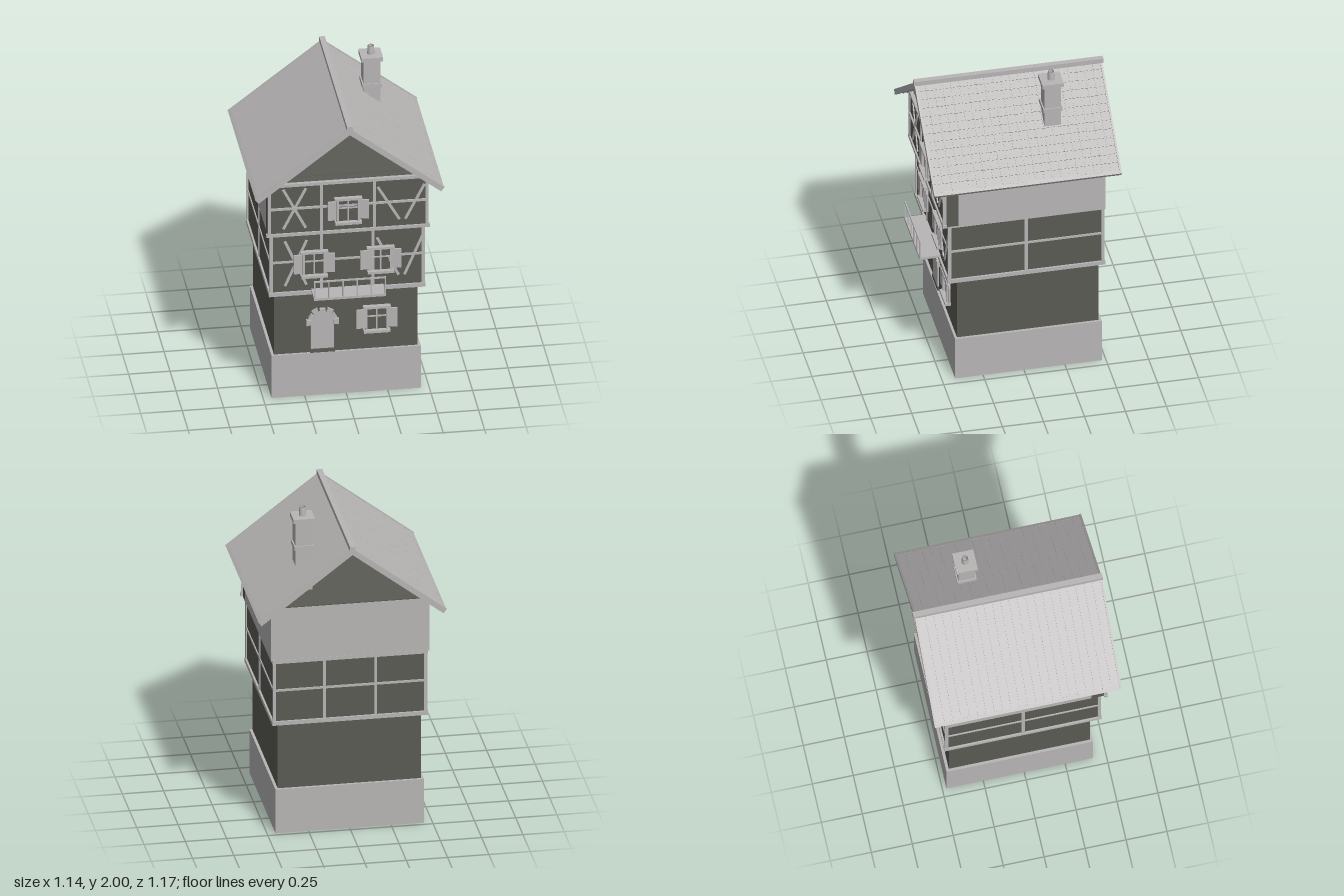
import * as THREE from 'three';
import { mergeGeometries } from 'three/addons/utils/BufferGeometryUtils.js';

export function createModel() {
  const model = new THREE.Group();
  model.name = 'timberHouse';
  const mat = (name, color) => {
    const m = new THREE.MeshStandardMaterial({ color });
    m.name = name;
    return m;
  };
  const pale = mat('paleGrey', 0xb8b5b5);
  const plaster = mat('darkPlaster', 0x5b5b54);

  const mesh = (parent, name, geometry, material) => {
    const m = new THREE.Mesh(geometry, material);
    m.name = name;
    parent.add(m);
    return m;
  };
  // Box given by its limits on each axis
  const block = (parent, name, [x0, x1], [y0, y1], [z0, z1], material = pale) => {
    const m = mesh(parent, name, new THREE.BoxGeometry(x1 - x0, y1 - y0, z1 - z0), material);
    m.position.set((x0 + x1) / 2, (y0 + y1) / 2, (z0 + z1) / 2);
    return m;
  };
  // Slanted timber lying against a front wall
  const brace = (parent, x0, y0, x1, y1, z) => {
    const m = mesh(parent, 'brace', new THREE.BoxGeometry(Math.hypot(x1 - x0, y1 - y0), 0.016, 0.012), pale);
    m.position.set((x0 + x1) / 2, (y0 + y1) / 2, z);
    m.rotation.z = Math.atan2(y1 - y0, x1 - x0);
  };
  const part = (name) => {
    const g = new THREE.Group();
    g.name = name;
    model.add(g);
    return g;
  };

  // Solid storeys
  block(model, 'stoneBase', [-0.45, 0.45], [0, 0.285], [-0.475, 0.42]);
  block(model, 'groundFloor', [-0.433, 0.433], [0.285, 0.715], [-0.457, 0.405], plaster);
  block(model, 'middleFloor', [-0.46, 0.46], [0.715, 1.13], [-0.48, 0.458], plaster);
  block(model, 'upperFloorFront', [-0.48, 0.48], [1.13, 1.475], [0.405, 0.493], plaster);
  block(model, 'upperFloorRear', [-0.48, 0.48], [1.13, 1.472], [-0.49, 0.405]);
  block(model, 'atticFloor', [-0.478, 0.478], [1.472, 1.478], [-0.488, 0.405], plaster);

  // Timber ring of the middle floor, all four sides
  const middle = part('middleFrame');
  const X = 0.468, ZB = -0.488, ZF = 0.466;
  for (const [y0, y1, out] of [[0.71, 0.735, 0.004], [0.928, 0.942, -0.002], [1.112, 1.135, 0.004]]) {
    const x = X + out, zb = ZB - out, zf = ZF + out;
    block(middle, 'sideRail', [-x, -x + 0.025], [y0, y1], [zb, zf]);
    block(middle, 'sideRail', [x - 0.025, x], [y0, y1], [zb, zf]);
    block(middle, 'backRail', [-x, x], [y0, y1], [zb, zb + 0.025]);
    block(middle, 'frontRail', [-x, x], [y0, y1], [zf - 0.025, zf]);
  }
  for (const s of [-1, 1]) {
    const span = (a, b) => (s > 0 ? [a, b] : [-b, -a]);
    for (const z of [ZB, -0.02, ZF - 0.02]) {
      block(middle, 'sidePost', span(X - 0.02, X), [0.715, 1.13], [z, z + 0.02]);
    }
    block(middle, 'frontPost', span(0.147, 0.163), [0.715, 1.13], [0.45, ZF]);
    block(middle, 'backPost', span(0.147, 0.163), [0.715, 1.13], [ZB, -0.47]);
  }
  brace(middle, -0.375, 1.075, -0.245, 0.775, 0.459);
  brace(middle, -0.245, 1.075, -0.375, 0.775, 0.46);
  brace(middle, 0.18, 1.06, 0.31, 0.8, 0.46);
  brace(middle, 0.455, 1.06, 0.345, 0.8, 0.46);

  // Timber front of the upper floor
  const upper = part('upperFrame');
  for (const [y0, y1, x] of [[1.13, 1.15, 0.493], [1.308, 1.322, 0.484], [1.463, 1.482, 0.486]]) {
    block(upper, 'frontRail', [-x, x], [y0, y1], [0.48, 0.503]);
  }
  for (const x of [-0.475, -0.16, 0.16, 0.475]) {
    block(upper, 'frontPost', [x - 0.009, x + 0.009], [1.13, 1.478], [0.48, 0.501]);
  }
  brace(upper, -0.39, 1.445, -0.255, 1.18, 0.494);
  brace(upper, -0.255, 1.445, -0.39, 1.18, 0.495);
  brace(upper, 0.18, 1.42, 0.31, 1.195, 0.495);
  brace(upper, 0.46, 1.42, 0.345, 1.195, 0.495);

  // Shuttered windows: centre x, centre y, wall z
  const addWindow = (x, y, z) => {
    const w = part('shutteredWindow');
    w.position.set(x, y, z);
    block(w, 'panes', [-0.065, 0.065], [-0.075, 0.075], [0, 0.008], plaster);
    block(w, 'lintel', [-0.083, 0.083], [0.072, 0.087], [0, 0.03]);
    block(w, 'sill', [-0.08, 0.08], [-0.088, -0.072], [0, 0.036]);
    block(w, 'mullion', [-0.005, 0.005], [-0.075, 0.075], [0, 0.016]);
    block(w, 'glazingBar', [-0.06, 0.06], [0.012, 0.02], [0, 0.015]);
    for (const s of [-1, 1]) {
      const jamb = block(w, 'jamb', [-0.007, 0.007], [-0.075, 0.075], [0, 0.022]);
      jamb.position.x = s * 0.063;
      const shutter = block(w, 'shutter', [-0.028, 0.028], [-0.06, 0.065], [0.008, 0.02]);
      shutter.position.x = s * 0.096;
      shutter.rotation.y = s * -0.12;
    }
  };
  addWindow(0.185, 0.49, 0.405);
  addWindow(-0.2, 0.918, 0.458);
  addWindow(0.2, 0.918, 0.458);
  addWindow(0, 1.283, 0.493);

  // Arched door with wedge stones and a step
  const entrance = part('entrance');
  entrance.position.set(-0.142, 0.49, 0.405);
  const arch = new THREE.Shape();
  arch.moveTo(-0.07, -0.19);
  arch.lineTo(0.07, -0.19);
  arch.absarc(0, 0, 0.07, 0, Math.PI, false);
  arch.closePath();
  mesh(entrance, 'door', new THREE.ExtrudeGeometry(arch, { depth: 0.008, bevelEnabled: false, curveSegments: 10 }), pale);
  for (let i = 0; i < 7; i++) {
    const a = (i / 6) * Math.PI, h = 0.2;
    const outer = i % 2 ? 0.092 : 0.1;
    const stone = new THREE.Shape([[0.068, -h], [outer, -h], [outer, h], [0.068, h]]
      .map(([r, d]) => new THREE.Vector2(r * Math.cos(a + d), r * Math.sin(a + d))));
    mesh(entrance, 'archStone', new THREE.ExtrudeGeometry(stone, { depth: 0.02, bevelEnabled: false }), pale);
  }
  block(entrance, 'doorStep', [-0.075, 0.075], [-0.205, -0.18], [0, 0.012], plaster);

  // Balcony
  const balcony = part('balcony');
  block(balcony, 'balconyFloor', [-0.217, 0.217], [0.727, 0.743], [0.45, 0.586]);
  block(balcony, 'handRail', [-0.217, 0.217], [0.847, 0.857], [0.577, 0.585]);
  for (let i = 0; i < 6; i++) {
    const x = -0.213 + i * 0.0852;
    block(balcony, 'baluster', [x - 0.004, x + 0.004], [0.74, 0.85], [0.577, 0.585]);
  }

  // Roof slopes with overlapping tiles
  let seed = 7;
  const rand = () => (seed = (seed * 16807) % 2147483647) / 2147483647;
  const roof = part('roof');
  const L = 0.72, rows = 13, columns = 22, pitch = 0.695 / rows;
  for (const turn of [0, Math.PI]) {
    const side = new THREE.Group();
    side.name = 'roofSide';
    side.rotation.y = turn;
    roof.add(side);
    const slope = new THREE.Group();
    slope.name = 'roofSlope';
    slope.position.y = 1.868;
    slope.rotation.z = -0.655;
    side.add(slope);
    block(slope, 'roofDeck', [0, L], [-0.03, -0.014], [-0.565, 0.565]);
    block(slope, 'eaveBoard', [L - 0.025, L], [-0.032, -0.004], [-0.572, 0.572]);
    for (const z of [-0.572, 0.56]) block(slope, 'bargeBoard', [0, L], [-0.034, 0], [z, z + 0.012]);
    const tiles = [];
    for (let r = 0; r < rows; r++) {
      for (let c = 0; c < columns; c++) {
        const width = 1.12 / columns;
        const tile = new THREE.BoxGeometry(pitch + 0.01, 0.008, width - 0.0005);
        tile.rotateZ(-0.1 + 0.2 * 1);
        tile.rotateZ(-0.03);
        const z = -0.56 + (c + 0.5) * width;
        tile.translate((r + 0.5) * pitch + (rand() - 0.5) * 0.003, -0.01 + (rand() - 0.5) * 0.002, z);
        tiles.push(tile);
      }
    }
    mesh(slope, 'roofTiles', mergeGeometries(tiles), pale);
  }
  block(roof, 'ridgeBeam', [-0.017, 0.017], [1.852, 1.882], [-0.58, 0.576]);

  // Chimney
  const chimney = part('chimney');
  chimney.position.set(0.24, 0, -0.21);
  const ring = (name, r, y0, y1) => block(chimney, name, [-r, r], [y0, y1], [-r, r]);
  ring('chimneyStack', 0.051, 1.475, 1.925);
  ring('chimneyCollar', 0.059, 1.742, 1.768);
  ring('chimneyCap', 0.065, 1.92, 1.946);
  const profile = [[0.022, 1.945], [0.019, 2], [0.014, 2], [0.014, 1.95]].map(([r, y]) => new THREE.Vector2(r, y));
  mesh(chimney, 'chimneyPot', new THREE.LatheGeometry(profile, 12), pale);

  return model;
}
